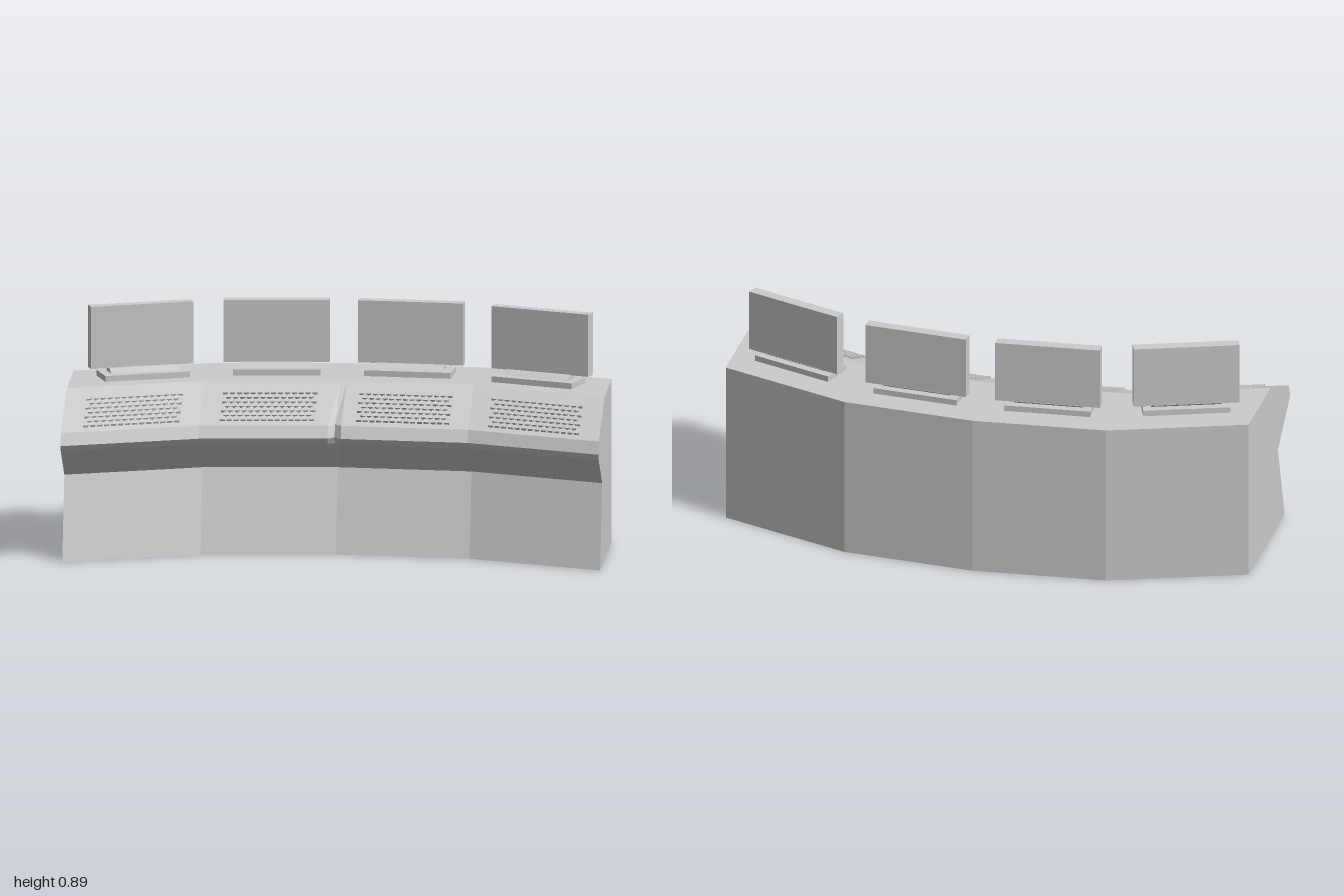
import * as THREE from 'three';
import { mergeGeometries } from 'three/addons/utils/BufferGeometryUtils.js';

const material = new THREE.MeshStandardMaterial({ color: 0xcccccc, flatShading: true });

// How far the desk bows backwards at x (0 at the ends, deepest in the middle)
const bow = (x) => {
  const a = Math.abs(x);
  return a > 0.5 ? 0.36 * (1 - a) : 0.22 - 0.08 * a;
};
const bowSlope = (x) => Math.sign(x) * (Math.abs(x) > 0.5 ? 0.36 : 0.08);

function add(parent, name, geometry, x = 0, y = 0, z = 0) {
  const mesh = new THREE.Mesh(geometry, material);
  mesh.name = name;
  mesh.position.set(x, y, z);
  parent.add(mesh);
  return mesh;
}

// Desk: one side profile swept across x, then bent along the bow
function deskGeometry() {
  const profile = [
    [0.34, 0], [0.24, 0.31], [0.405, 0.43], [0.425, 0.455],
    [0.402, 0.5], [0.13, 0.615], [-0.2, 0.615], [-0.2, 0],
  ];
  const shape = new THREE.Shape(profile.map(([z, y]) => new THREE.Vector2(-z, y)));
  const geometry = new THREE.ExtrudeGeometry(shape, { depth: 2, steps: 80, bevelEnabled: false });
  geometry.rotateY(Math.PI / 2).translate(-1, 0, 0);
  const p = geometry.attributes.position;
  for (let i = 0; i < p.count; i++) {
    const x = p.getX(i);
    let z = p.getZ(i);
    // small notch where the two halves of the front edge meet
    if (z > 0.4 && Math.abs(x) < 0.01) z -= 0.022;
    p.setZ(i, z - bow(x));
  }
  geometry.computeVertexNormals();
  return geometry;
}

// Keyboard: staggered rows of keys lying on the sloping desk front
function keyboardGeometry(x) {
  const columns = 14, rows = 7, width = 0.355, start = 0.065, depth = 0.205;
  const px = width / columns, pz = depth / rows;
  const keys = [];
  for (let r = 0; r < rows; r++) {
    const count = r % 2 ? columns - 1 : columns;
    for (let c = 0; c < count; c++) {
      const key = new THREE.BoxGeometry(px * 0.74, 0.01, pz * 0.74);
      keys.push(key.translate((c - (count - 1) / 2) * px, 0.003, start + (r + 0.5) * pz));
    }
  }
  const basis = new THREE.Matrix4().makeBasis(
    new THREE.Vector3(1, 0, bowSlope(x)),
    new THREE.Vector3(0, 0.921, 0.389),
    new THREE.Vector3(0, -0.389, 0.921),
  );
  basis.setPosition(x, 0.615, 0.13 - bow(x));
  const geometry = mergeGeometries(keys).applyMatrix4(basis);
  geometry.computeVertexNormals();
  return geometry;
}

// Monitor: foot plate, backward leaning stand and slab screen
function monitor(x, z) {
  const group = new THREE.Group();
  group.name = 'monitor';
  add(group, 'monitorFoot', new THREE.BoxGeometry(0.325, 0.024, 0.125), 0, 0.625, 0);
  const stand = new THREE.BoxGeometry(0.26, 0.02, 0.06);
  const p = stand.attributes.position;
  for (let i = 0; i < p.count; i++) if (p.getY(i) > 0) p.setZ(i, p.getZ(i) - 0.03);
  stand.computeVertexNormals();
  add(group, 'monitorStand', stand, 0, 0.643, 0.005);
  add(group, 'monitorScreen', new THREE.BoxGeometry(0.394, 0.235, 0.042), 0, 0.7685, -0.032);
  group.position.set(x, 0, z);
  group.rotation.y = -Math.atan(bowSlope(x));
  return group;
}

export function createModel() {
  const model = new THREE.Group();
  model.name = 'controlDesk';
  add(model, 'desk', deskGeometry());
  for (const side of [-1, 1]) {
    add(model, 'innerKeyboard', keyboardGeometry(side * 0.252));
    add(model, 'outerKeyboard', keyboardGeometry(side * 0.748));
    model.add(monitor(side * 0.248, -0.232), monitor(side * 0.735, -0.112));
  }
  return model;
}
